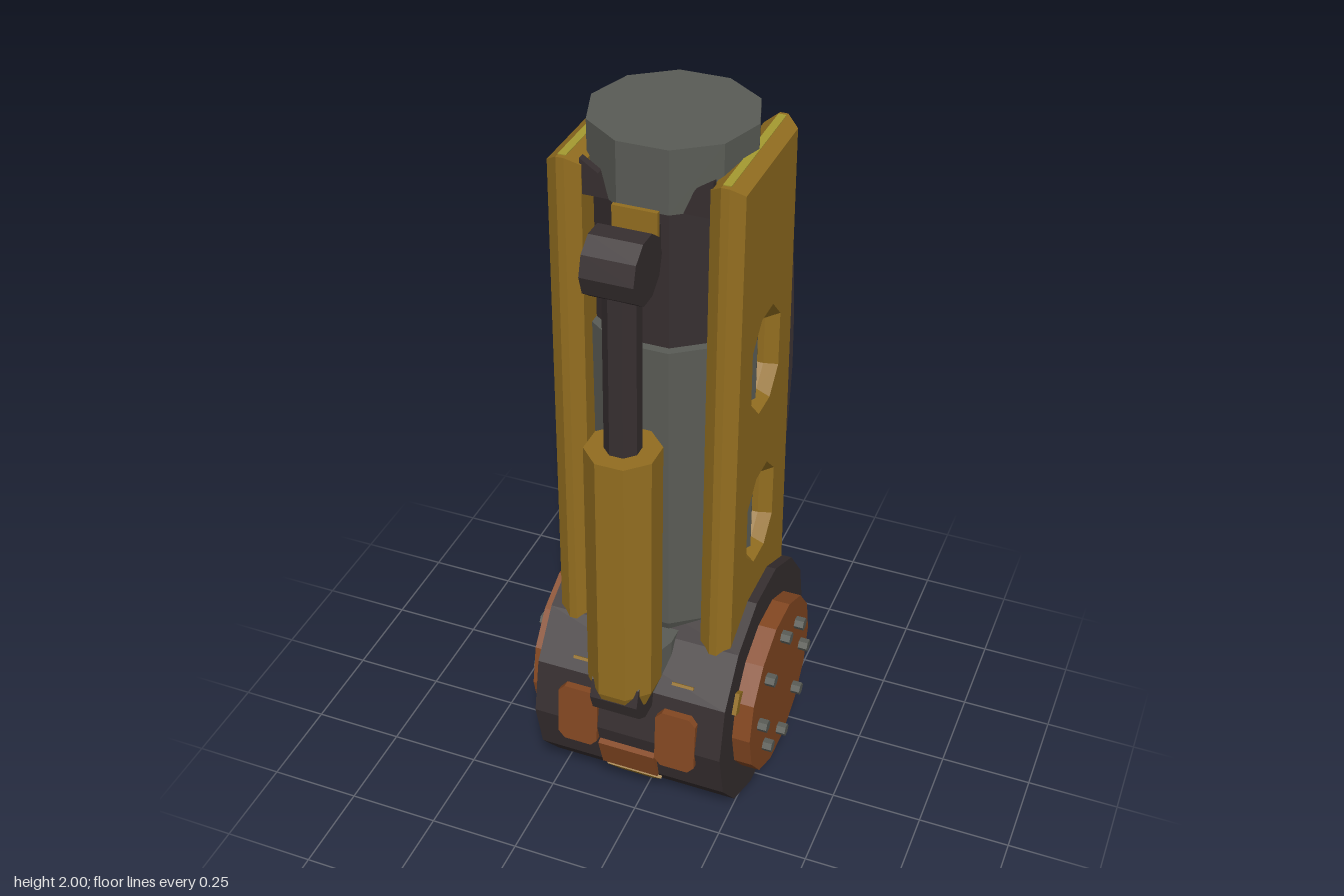
import * as THREE from 'three';

const mat = (name, color) => {
  const m = new THREE.MeshStandardMaterial({ color, flatShading: true });
  m.name = name;
  return m;
};

export function createModel() {
  const yellow = mat('ochre paint', 0x936e20);
  const trim = mat('bright edge', 0xa59a30);
  const dark = mat('dark metal', 0x372f30);
  const orange = mat('rust orange', 0x854822);
  const grey = mat('grey metal', 0x5a5c56);

  const root = new THREE.Group();
  const CY = 0.335, CZ = -0.04; // hip drum centre

  const add = (name, geo, material, x = 0, y = 0, z = 0, parent = root) => {
    const m = new THREE.Mesh(geo, material);
    m.name = name;
    m.position.set(x, y, z);
    parent.add(m);
    return m;
  };
  const box = (w, h, d) => new THREE.BoxGeometry(w, h, d);
  const cylX = (r, len, n) => new THREE.CylinderGeometry(r, r, len, n).rotateZ(Math.PI / 2);
  const polygon = pts => new THREE.Shape(pts.map(p => new THREE.Vector2(...p)));
  // rectangle with cut corners
  const octagon = (w, h, cx, cy, ox = 0, oy = 0) => [
    [w, h - cy], [w - cx, h], [cx - w, h], [-w, h - cy],
    [-w, cy - h], [cx - w, -h], [w - cx, -h], [w, cy - h],
  ].map(([x, y]) => [x + ox, y + oy]);

  // Drum with bolted side caps
  add('drum', cylX(0.342, 0.53, 14), dark, 0, CY, CZ);
  for (const s of [1, -1]) {
    add('drumCap', cylX(0.247, 0.05, 14), orange, s * 0.29, CY, CZ);
    for (let i = 0; i < 8; i++) {
      const a = i * Math.PI / 4;
      add('capBolt', cylX(0.018, 0.03, 6), grey, s * 0.326, CY + 0.172 * Math.sin(a), CZ + 0.172 * Math.cos(a));
    }
    for (const k of [0, Math.PI]) {
      const a = 0.46 + k;
      const t = add('capMarker', box(0.02, 0.06, 0.04), yellow, s * 0.267, CY + 0.25 * Math.sin(a), CZ + 0.25 * Math.cos(a));
      t.rotation.x = -a;
    }
  }

  // Pads and marks laid on the drum's front
  const onDrum = (name, geo, material, x, deg, r) => {
    const a = THREE.MathUtils.degToRad(deg);
    const m = add(name, geo, material, x, CY + r * Math.sin(a), CZ + r * Math.cos(a));
    m.rotation.x = -a;
  };
  const plate = (pts, depth) =>
    new THREE.ExtrudeGeometry(polygon(pts), { depth, bevelEnabled: false }).translate(0, 0, -depth / 2);
  for (const s of [1, -1]) {
    onDrum('frontPad', plate(octagon(0.056, 0.09, 0.018, 0.02), 0.03), orange, s * 0.139, 4, 0.33);
    onDrum('drumSlit', box(0.06, 0.008, 0.008), yellow, s * 0.14, 32, 0.337);
  }
  onDrum('lowerPad', plate([[-0.08, -0.05], [0.08, -0.05], [0.08, 0.05], [-0.08, 0.05]], 0.03), orange, 0, -17, 0.332);
  onDrum('drumMark', plate([[-0.05, -0.015], [0.05, -0.015], [0.08, 0.015], [-0.08, 0.015]], 0.009), yellow, 0, -35, 0.34);

  // Central column, ten-sided, in three stages
  const stage = (name, rTop, rBot, y0, y1, m) =>
    add(name, new THREE.CylinderGeometry(rTop, rBot, y1 - y0, 10, 1, false, Math.PI / 2), m, 0, (y0 + y1) / 2, CZ);
  stage('columnBase', 0.216, 0.19, 0.58, 0.64, grey);
  stage('columnLower', 0.216, 0.216, 0.64, 1.48, grey);
  stage('columnNeck', 0.192, 0.192, 1.48, 1.84, dark);
  stage('columnTop', 0.205, 0.205, 1.84, 2.0, grey);

  // Bevelled side panels with two windows each
  const b = 0.022;
  const side = polygon([[0.185 - b, 0.52], [0.16 - b, 1.936 - b], [-0.236 + b, 1.936 - b], [-0.268 + b, 0.52]]);
  for (const y of [0.91, 1.38]) {
    side.holes.push(new THREE.Path(octagon(0.1, 0.135, 0.06, 0.06, CZ, y).map(p => new THREE.Vector2(...p))));
  }
  const panelGeo = new THREE.ExtrudeGeometry(side, {
    depth: 0.02, bevelEnabled: true, bevelSize: b, bevelThickness: 0.032, bevelSegments: 1,
  }).translate(0, 0, -0.01).rotateY(-Math.PI / 2);
  const wedge = polygon([[0, 0], [0.07, 0], [0.045, 0.06], [0, 0.09]]);
  for (const s of [1, -1]) {
    add('sidePanel', panelGeo, yellow, s * 0.197);
    add('panelRidge', box(0.02, 0.006, 0.37), trim, s * 0.197, 1.935, -0.038);
    // dark gusset between panel and column head
    const g = add('gusset', new THREE.ExtrudeGeometry(wedge, { depth: 0.02, bevelEnabled: false }), dark, -s * 0.16, 1.84, 0.115);
    if (s < 0) { g.rotation.y = Math.PI; g.position.z += 0.02; }
  }

  // Front hydraulic strut, leaning slightly back
  const strut = new THREE.Group();
  strut.name = 'strut';
  strut.position.set(0, 0.5, 0.302);
  strut.rotation.x = -0.02;
  root.add(strut);
  const tube = (name, r0, r1, y0, y1, m) =>
    add(name, new THREE.CylinderGeometry(r1, r0, y1 - y0, 8).rotateY(Math.PI / 8), m, 0, (y0 + y1) / 2, 0, strut);
  tube('strutFoot', 0.075, 0.095, 0, 0.05, yellow);
  tube('strutBody', 0.095, 0.095, 0.05, 0.775, yellow);
  tube('strutRod', 0.046, 0.046, 0.77, 1.22, dark);
  add('strutHead', cylX(0.083, 0.13, 10), dark, 0, 1.77, 0.283);
  add('strutPivot', cylX(0.083, 0.13, 10), dark, 0, 0.525, 0.298);
  add('headClip', box(0.11, 0.15, 0.012), yellow, 0, 1.793, 0.196);
  add('headMount', box(0.08, 0.08, 0.08), dark, 0, 1.77, 0.16);

  // Grey bracket carrying the strut's foot
  add('strutBracket', plate([[-0.09, 0.1], [0.09, 0.1], [0.09, 0.2], [0.065, 0.27], [-0.065, 0.27], [-0.09, 0.2]], 0.13)
    .rotateX(Math.PI / 2), grey, 0, 0.548, 0);

  // Rear cables, bowed outwards
  for (const s of [1, -1]) {
    const path = new THREE.CatmullRomCurve3([
      [0.165, 1.77, -0.318], [0.177, 1.5, -0.334], [0.185, 1.2, -0.343], [0.177, 0.88, -0.334], [0.165, 0.57, -0.315],
    ].map(([x, y, z]) => new THREE.Vector3(s * x, y, z)));
    add('cable', new THREE.TubeGeometry(path, 8, 0.029, 6), dark);
    for (const t of [0, 1]) {
      const p = path.getPoint(t);
      add('cableEnd', new THREE.CylinderGeometry(0.03, 0.03, 0.012, 6), dark, p.x, p.y, p.z);
    }
  }

  // Slanted tie bars between the cables
  for (let i = -2; i <= 2; i++) {
    add('tieBar', box(0.03, 0.14, 0.012), dark, i * 0.066, 1.545, -0.277).rotation.z = 0.75;
  }
  return root;
}
